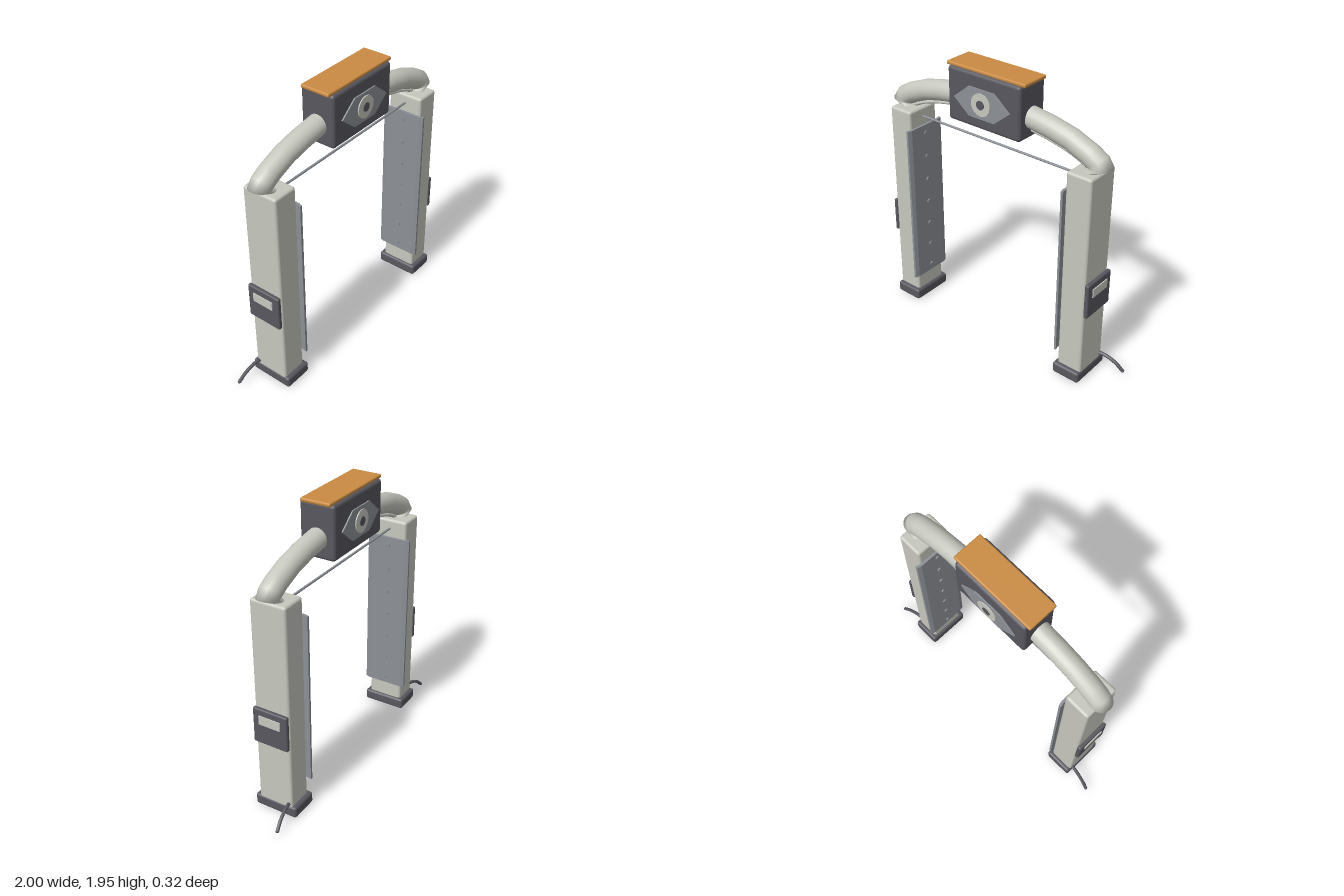
import * as THREE from 'three';
import { RoundedBoxGeometry } from 'three/addons/geometries/RoundedBoxGeometry.js';

const mat = (name, color) => Object.assign(new THREE.MeshStandardMaterial({ color }), { name });

export function createModel() {
  const shell = mat('pale shell', 0xc6c7be);
  const dark = mat('charcoal', 0x58575f);
  const steel = mat('steel grey', 0x8c9096);
  const orange = mat('orange', 0xca8b42);
  const model = new THREE.Group();
  model.name = 'archGate';

  const add = (parent, name, geometry, material, x = 0, y = 0, z = 0) => {
    const mesh = new THREE.Mesh(geometry, material);
    mesh.name = name;
    mesh.position.set(x, y, z);
    parent.add(mesh);
    return mesh;
  };
  const block = (w, h, d, r) => new RoundedBoxGeometry(w, h, d, 2, r);
  const v = (x, y, z = 0) => new THREE.Vector3(x, y, z);
  const tube = (points, r, segments, sides) =>
    new THREE.TubeGeometry(new THREE.CatmullRomCurve3(points), segments, r, sides);

  // Side columns; the -x one is the +x one turned, with its cable kept at the back
  for (const s of [1, -1]) {
    const column = new THREE.Group();
    column.name = s > 0 ? 'leftColumn' : 'rightColumn';
    model.add(column);
    add(column, 'pillar', block(0.18, 1.465, 0.25, 0.018), shell, s * 0.725, 0.7725);
    add(column, 'foot', block(0.205, 0.08, 0.31, 0.018), dark, s * 0.7175, 0.04);

    // Sensor panel with edges folded back towards the pillar
    const profile = new THREE.Shape([
      [0.617, -0.13], [0.626, -0.158], [0.642, -0.158], [0.635, -0.13],
      [0.635, 0.13], [0.642, 0.158], [0.626, 0.158], [0.617, 0.13],
    ].map(([x, z]) => new THREE.Vector2(s * x, z)));
    const panel = new THREE.ExtrudeGeometry(profile, { depth: 1.18, bevelEnabled: false });
    panel.rotateX(-Math.PI / 2);
    add(column, 'sensorPanel', panel, steel, 0, 0.2, 0);
    for (let i = 0; i < 7; i++) {
      const bolt = new THREE.CylinderGeometry(0.016, 0.016, 0.012, 10);
      bolt.rotateZ(Math.PI / 2);
      add(column, 'panelBolt', bolt, steel, s * 0.615, 0.25 + i * 0.1785, 0);
    }

    // Control box on the outer face
    add(column, 'controlBox', block(0.03, 0.25, 0.25, 0.01), dark, s * 0.827, 0.65);
    add(column, 'screen', new THREE.BoxGeometry(0.008, 0.062, 0.155), shell, s * 0.845, 0.7);

    // Cable drooping to the ground
    const cable = [v(s * 0.8, 0.1, -0.1), v(s * 0.86, 0.098, -0.108), v(s * 0.935, 0.065, -0.12), v(s * 0.99, 0.016, -0.13)];
    add(column, 'cable', tube(cable, 0.012, 14, 8), dark);
    const tip = new THREE.SphereGeometry(0.012, 8, 6);
    add(column, 'cableTip', tip, dark, s * 0.988, 0.018, -0.13);
  }

  // Main arch: elliptical rings between an upper and a lower outline
  const half = [
    [0.79, 1.495, 0.66, 1.495], [0.873, 1.54, 0.735, 1.51], [0.83, 1.607, 0.71, 1.515],
    [0.75, 1.655, 0.675, 1.535], [0.6, 1.715, 0.555, 1.583], [0.45, 1.75, 0.425, 1.612],
    [0.28, 1.775, 0.27, 1.635],
  ];
  const rings = [...half, [0, 1.79, 0, 1.65],
    ...half.slice().reverse().map(([a, b, c, d]) => [-a, b, -c, d])];
  const sides = 20, pos = [], index = [];
  rings.forEach(([ux, uy, lx, ly], i) => {
    for (let j = 0; j < sides; j++) {
      const a = (j / sides) * Math.PI * 2, k = (1 + Math.cos(a)) / 2;
      pos.push(lx + (ux - lx) * k, ly + (uy - ly) * k, 0.07 * Math.sin(a));
      if (i < rings.length - 1) {
        const p = i * sides + j, q = i * sides + (j + 1) % sides;
        index.push(p, p + sides, q, q, p + sides, q + sides);
      }
    }
  });
  const arch = new THREE.BufferGeometry();
  arch.setAttribute('position', new THREE.Float32BufferAttribute(pos, 3));
  arch.setIndex(index);
  arch.computeVertexNormals();
  // Check the winding against the top of the arch and flip if it faces inward
  if (arch.attributes.normal.getY(7 * sides) < 0) {
    arch.setIndex(index.slice().reverse());
    arch.computeVertexNormals();
  }
  add(model, 'archTube', arch, shell);

  // Thin conduit under the arch and the straight cross rod
  const conduit = [v(-0.72, 1.5), v(-0.6, 1.553), v(-0.45, 1.593), v(-0.28, 1.62), v(0, 1.64),
    v(0.28, 1.62), v(0.45, 1.593), v(0.6, 1.553), v(0.72, 1.5)];
  add(model, 'conduit', tube(conduit, 0.012, 40, 8), shell);
  const rod = new THREE.CylinderGeometry(0.008, 0.008, 1.27, 10);
  rod.rotateZ(Math.PI / 2);
  add(model, 'crossRod', rod, steel, 0, 1.44, 0);

  // Head unit and lid
  const head = new THREE.Group();
  head.name = 'headUnit';
  model.add(head);
  add(head, 'housing', block(0.57, 0.36, 0.245, 0.022), dark, 0, 1.75);
  add(head, 'lid', block(0.615, 0.026, 0.21, 0.01), orange, 0, 1.936);

  // Eye-shaped emblem on the front and the back
  const hexagon = new THREE.Shape([
    [-0.22, 0], [-0.1, -0.098], [0.1, -0.098], [0.22, 0], [0.1, 0.098], [-0.1, 0.098],
  ].map(([x, y]) => new THREE.Vector2(x, y)));
  for (const s of [1, -1]) {
    const eye = new THREE.Group();
    eye.name = s > 0 ? 'frontEye' : 'backEye';
    eye.position.set(0, 1.747, 0);
    if (s < 0) eye.rotation.y = Math.PI;
    head.add(eye);
    add(eye, 'eyePlate', new THREE.ExtrudeGeometry(hexagon, { depth: 0.009, bevelEnabled: false }), steel, 0, 0, 0.13);
    add(eye, 'eyeMount', new THREE.BoxGeometry(0.2, 0.12, 0.012), dark, 0, 0, 0.125);
    const disc = (r, depth) => new THREE.CylinderGeometry(r, r, depth, 16).rotateX(Math.PI / 2);
    add(eye, 'iris', disc(0.075, 0.008), shell, 0, 0, 0.142);
    add(eye, 'pupil', disc(0.03, 0.006), dark, 0, 0, 0.147);
  }
  return model;
}
